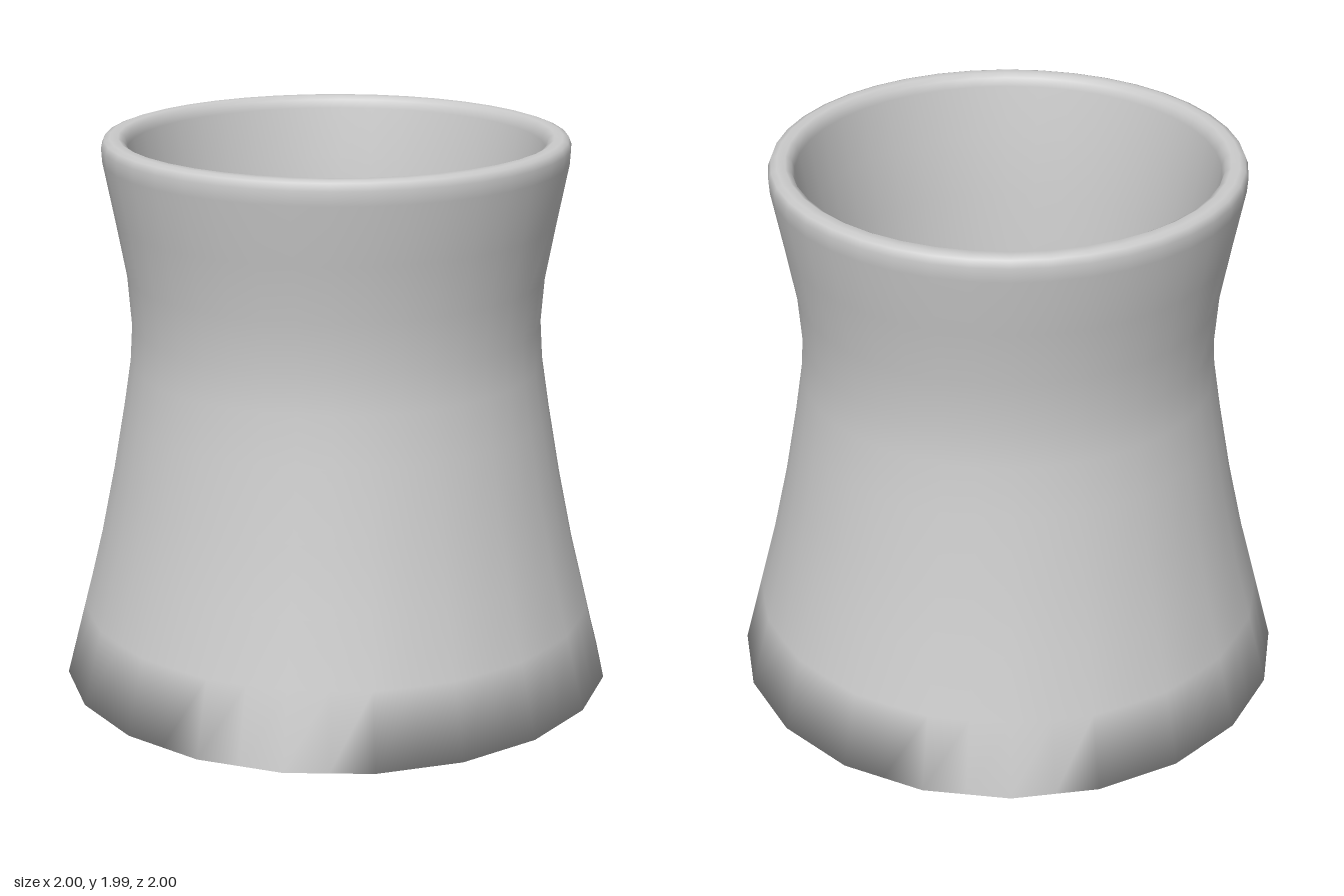
import * as THREE from 'three';

const SIDES = 40;

// Closed surface of revolution: rows of [radius, y], capped at both ends, normals shared throughout
function revolve(rows) {
  const pos = [], idx = [];
  for (const [r, y] of rows.outer.concat(rows.inner)) {
    const isOuter = pos.length / 3 < rows.outer.length * SIDES;
    // the foot is a 20-sided polygon that becomes round higher up
    const flat = isOuter ? THREE.MathUtils.clamp(1 - y / 0.8, 0, 1) : 0;
    for (let i = 0; i < SIDES; i++) {
      const a = (i / SIDES) * Math.PI * 2;
      const k = i % 2 ? THREE.MathUtils.lerp(1, Math.cos(Math.PI / 20), flat) : 1;
      pos.push(r * k * Math.sin(a), y, r * k * Math.cos(a));
    }
  }
  const count = rows.outer.length + rows.inner.length;
  for (let j = 0; j < count - 1; j++) {
    for (let i = 0; i < SIDES; i++) {
      const n = (i + 1) % SIDES;
      const a = j * SIDES + i, b = j * SIDES + n;
      idx.push(a, b, b + SIDES, a, b + SIDES, a + SIDES);
    }
  }
  // flat caps made of strips between opposite rim corners
  const cap = (start, up) => {
    const tri = (a, b, c) => (up ? idx.push(start + a, start + b, start + c) : idx.push(start + a, start + c, start + b));
    for (let i = 0; i < SIDES / 2; i++) {
      const p = i, q = i + 1, r = SIDES - i - 1, s = (SIDES - i) % SIDES;
      if (q !== r) tri(p, q, r);
      if (p !== s && r !== q) tri(p, r, s);
      else if (r === q && p !== s) tri(p, q, s);
    }
  };
  cap(0, false);
  cap((count - 1) * SIDES, true);

  const geo = new THREE.BufferGeometry();
  geo.setAttribute('position', new THREE.Float32BufferAttribute(pos, 3));
  geo.setIndex(idx);
  geo.computeVertexNormals();
  return geo;
}

export function createModel() {
  const group = new THREE.Group();
  group.name = 'coolingTower';

  // waisted outer wall, rounded lip, then the inner wall down to the floor
  const outer = [
    [1, 0], [0.93, 0.27], [0.87, 0.5], [0.815, 0.75], [0.77, 1], [0.742, 1.18], [0.733, 1.32],
    [0.746, 1.5], [0.782, 1.7], [0.822, 1.91], [0.825, 1.96], [0.815, 1.985], [0.795, 1.992],
  ];
  const inner = [
    [0.765, 1.992], [0.745, 1.98], [0.735, 1.95], [0.7, 1.76], [0.665, 1.55], [0.64, 1.3], [0.63, 1.22],
  ];
  const tower = new THREE.Mesh(
    revolve({ outer, inner }),
    new THREE.MeshStandardMaterial({ color: 0xcccccc })
  );
  tower.name = 'towerShell';
  group.add(tower);
  return group;
}
